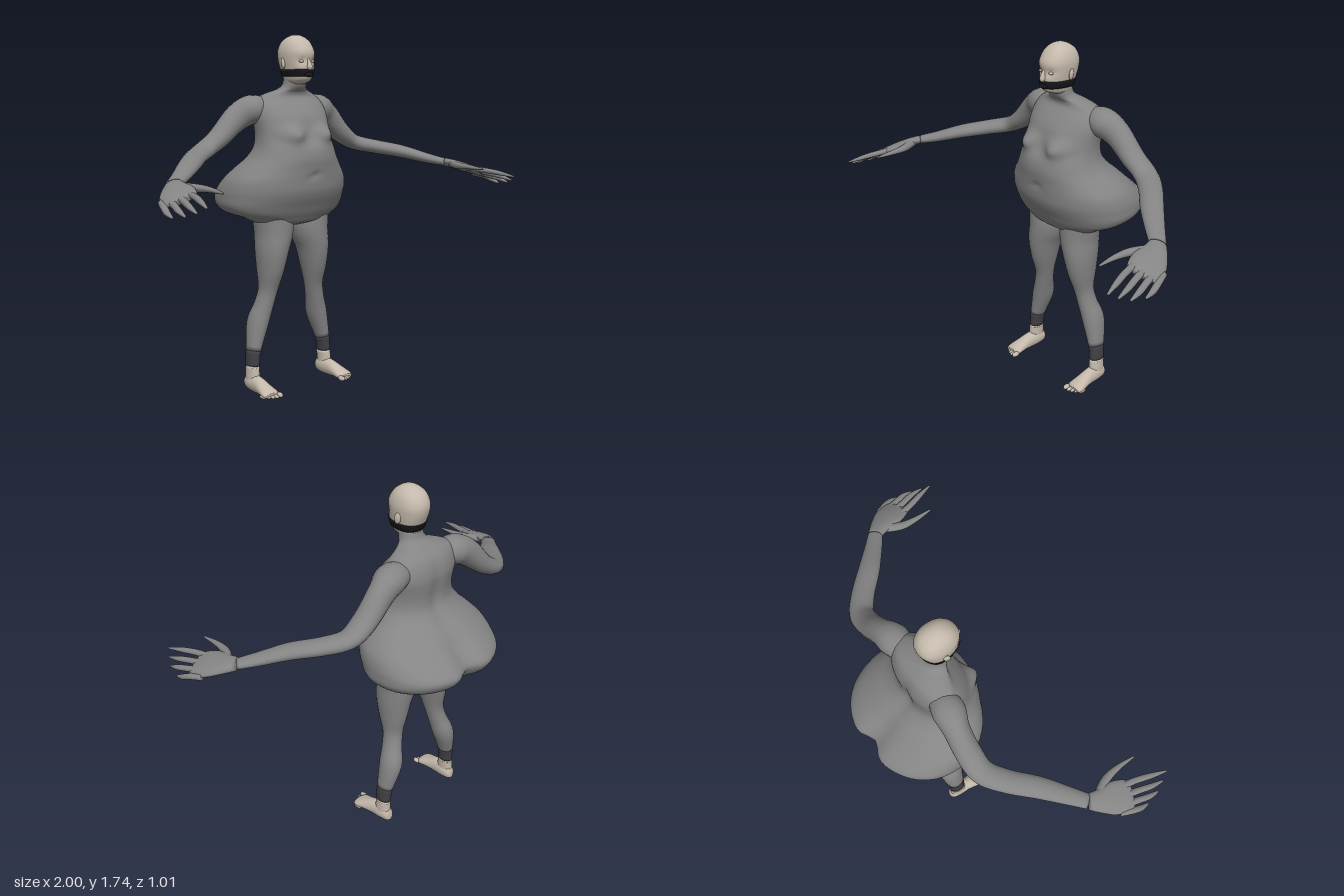
import * as THREE from 'three';

const V = (x, y, z) => new THREE.Vector3(x, y, z);
const mat = (color) => new THREE.MeshStandardMaterial({ color, roughness: 0.8, side: THREE.DoubleSide });
const suit = mat(0x858585), skin = mat(0xc4b9ab), dark = mat(0x17171b), cuffMat = mat(0x404045);

// Smoothly resample rows of numbers, each column on its own spline
function resample(rows, steps) {
  const out = [];
  for (let i = 0; i < rows.length - 1; i++) {
    const [a, b, c, d] = [-1, 0, 1, 2].map((k) => rows[Math.min(rows.length - 1, Math.max(0, i + k))]);
    for (let s = 0; s < steps; s++) {
      const t = s / steps;
      out.push(b.map((p, k) => p + 0.5 * t * (c[k] - a[k] + t * (2 * a[k] - 5 * p + 4 * c[k] - d[k]
        + t * (3 * (p - c[k]) + d[k] - a[k])))));
    }
  }
  out.push(rows[rows.length - 1]);
  return out;
}

// Skin a list of closed rings, with optional end caps
function loft(rings, name, material, caps = true) {
  const n = rings[0].length, pts = rings.flat(), index = [];
  for (let i = 0; i < rings.length - 1; i++) {
    for (let j = 0; j < n; j++) {
      const a = i * n + j, b = i * n + (j + 1) % n;
      index.push(a, b, b + n, a, b + n, a + n);
    }
  }
  if (caps) {
    [0, rings.length - 1].forEach((r) => {
      const mid = rings[r].reduce((s, p) => s.add(p), V(0, 0, 0)).divideScalar(n);
      const c = pts.push(mid) - 1;
      for (let j = 0; j < n; j++) {
        const a = r * n + j, b = r * n + (j + 1) % n;
        if (r === 0) index.push(c, b, a); else index.push(c, a, b);
      }
    });
  }
  const g = new THREE.BufferGeometry().setFromPoints(pts);
  g.setIndex(index);
  g.computeVertexNormals();
  const mesh = new THREE.Mesh(g, material);
  mesh.name = name;
  return mesh;
}

// Elliptical rings along a path; rows are [x, y, z, half width, half height]
function limbRings(rows, up, side = 1, n = 20, steps = 5) {
  const list = resample(rows, steps).map(([x, y, z, w, h]) => ({ p: V(x * side, y, z), w, h }));
  return list.map(({ p, w, h }, i) => {
    const t = list[Math.min(i + 1, list.length - 1)].p.clone().sub(list[Math.max(i - 1, 0)].p).normalize();
    const v = up.clone().addScaledVector(t, -up.dot(t)).normalize();
    const u = v.clone().cross(t);
    return Array.from({ length: n }, (_, j) => {
      const a = j / n * Math.PI * 2;
      return p.clone().addScaledVector(u, Math.cos(a) * w).addScaledVector(v, Math.sin(a) * h);
    });
  });
}

// Level rings; rows are [y, half width, front z, back z, z of the widest line]
function levelRings(rows, n, steps, grow = 0) {
  return resample(rows, steps).map(([y, w, zf, zb, zc]) => Array.from({ length: n }, (_, j) => {
    const a = j / n * Math.PI * 2, c = Math.cos(a), s = Math.sin(a);
    const x = Math.sign(s) * Math.abs(s) ** 0.9 * (w + grow);
    const depth = c > 0 ? zf - zc + grow : zc - zb + grow;
    return V(x, y, zc + Math.sign(c) * Math.abs(c) ** 0.9 * depth);
  }));
}

function ellipsoid(name, material, p, r, parent) {
  const m = new THREE.Mesh(new THREE.SphereGeometry(1, 18, 12), material);
  m.name = name;
  m.position.set(...p);
  m.scale.set(...r);
  parent.add(m);
  return m;
}

function torso() {
  const rings = levelRings([
    [0.815, 0.04, -0.10, -0.18, -0.14], [0.835, 0.19, -0.04, -0.25, -0.14], [0.86, 0.245, -0.02, -0.37, -0.16],
    [0.885, 0.305, -0.005, -0.46, -0.20], [0.92, 0.333, 0.012, -0.50, -0.22], [0.96, 0.337, 0.032, -0.515, -0.22],
    [1.0, 0.335, 0.045, -0.48, -0.21], [1.05, 0.32, 0.05, -0.42, -0.19], [1.1, 0.28, 0.055, -0.365, -0.17],
    [1.15, 0.235, 0.06, -0.31, -0.14], [1.2, 0.21, 0.05, -0.275, -0.12], [1.25, 0.2, 0.015, -0.268, -0.12],
    [1.3, 0.2, 0, -0.272, -0.13], [1.35, 0.205, -0.015, -0.275, -0.15], [1.4, 0.2, -0.05, -0.265, -0.16],
    [1.44, 0.175, -0.085, -0.245, -0.165], [1.465, 0.12, -0.085, -0.215, -0.15], [1.48, 0.078, -0.072, -0.19, -0.13],
    [1.5, 0.06, -0.06, -0.165, -0.11], [1.535, 0.054, -0.05, -0.155, -0.10],
  ], 72, 4);
  for (const p of rings.flat()) {
    const bump = (x, y, rx, ry) => Math.exp(-(((Math.abs(p.x) - x) / rx) ** 2) - ((p.y - y) / ry) ** 2);
    if (p.z > -0.12) { // chest and navel
      p.z += 0.05 * bump(0.095, 1.265, 0.055, 0.04) - 0.012 * bump(0, 1.07, 0.02, 0.015);
    } else if (p.z < -0.2) { // cleft running up into the spine
      p.z += 0.05 * bump(0, 0.95, 0.06, 0.13) + 0.012 * bump(0, 1.25, 0.03, 0.15);
    }
  }
  return loft(rings, 'torso', suit);
}

function head() {
  const g = new THREE.Group();
  g.name = 'head';
  const rows = [
    [1.505, 0.04, -0.055, -0.14, -0.1], [1.52, 0.053, -0.014, -0.152, -0.1], [1.54, 0.06, 0, -0.16, -0.1],
    [1.575, 0.069, 0.006, -0.174, -0.1], [1.62, 0.076, 0.003, -0.19, -0.1], [1.66, 0.077, 0.003, -0.194, -0.1],
    [1.7, 0.065, -0.02, -0.178, -0.098], [1.725, 0.043, -0.048, -0.148, -0.097], [1.737, 0.02, -0.075, -0.12, -0.097],
    [1.74, 0.004, -0.094, -0.1, -0.097],
  ];
  const skull = levelRings(rows, 40, 4);
  for (const p of skull.flat()) { // eye sockets
    if (p.z > -0.06) p.z -= 0.01 * Math.exp(-(((Math.abs(p.x) - 0.032) / 0.018) ** 2) - ((p.y - 1.615) / 0.014) ** 2);
  }
  g.add(loft(skull, 'skull', skin));
  g.add(loft(levelRings(rows.slice(2, 4), 40, 3, 0.004), 'mouthBand', dark));
  ellipsoid('lips', dark, [0, 1.55, 0.004], [0.024, 0.012, 0.01], g);
  g.add(loft(limbRings([[0, 1.63, -0.005, 0.006, 0.006], [0, 1.605, 0.004, 0.009, 0.011],
    [0, 1.585, 0.009, 0.014, 0.014], [0, 1.576, 0.005, 0.009, 0.01]], V(0, 0, 1), 1, 14), 'nose', skin));
  for (const s of [-1, 1]) {
    ellipsoid('eye', skin, [s * 0.032, 1.613, -0.015], [0.014, 0.007, 0.01], g);
    const ear = ellipsoid('ear', skin, [s * 0.077, 1.602, -0.1], [0.009, 0.027, 0.016], g);
    ear.rotation.set(-0.15, s * 0.4, 0);
  }
  return g;
}

function arm(s) {
  const g = new THREE.Group(), up = V(0, 1, 0);
  g.name = s > 0 ? 'leftArm' : 'rightArm';
  g.add(loft(limbRings([
    [0.11, 1.38, -0.18, 0.05, 0.05], [0.2, 1.385, -0.185, 0.075, 0.07], [0.28, 1.345, -0.2, 0.06, 0.065],
    [0.38, 1.255, -0.205, 0.06, 0.05], [0.47, 1.2, -0.195, 0.058, 0.04], [0.56, 1.175, -0.13, 0.055, 0.036],
    [0.66, 1.15, -0.03, 0.052, 0.033], [0.76, 1.115, 0.06, 0.043, 0.026], [0.83, 1.095, 0.12, 0.036, 0.02],
  ], up, s), 'sleeve', suit));
  // Hand
  g.add(loft(limbRings([
    [0.833, 1.094, 0.123, 0.038, 0.021], [0.86, 1.083, 0.17, 0.055, 0.022], [0.885, 1.068, 0.23, 0.076, 0.021],
    [0.907, 1.052, 0.29, 0.072, 0.017], [0.915, 1.046, 0.315, 0.055, 0.01],
  ], V(0.35 * s, 1, 0), s), 'palm', suit));
  const fingers = {
    thumb: [[0.84, 1.087, 0.17], [0.798, 1.086, 0.25], [0.787, 1.085, 0.33], [0.79, 1.08, 0.42]],
    indexFinger: [[0.857, 1.07, 0.26], [0.875, 1.065, 0.35], [0.9, 1.055, 0.43], [0.925, 1.04, 0.51]],
    middleFinger: [[0.897, 1.058, 0.26], [0.918, 1.048, 0.34], [0.938, 1.035, 0.41], [0.948, 1.018, 0.475]],
    ringFinger: [[0.93, 1.045, 0.25], [0.952, 1.032, 0.32], [0.968, 1.018, 0.38], [0.972, 1.002, 0.43]],
    littleFinger: [[0.95, 1.035, 0.22], [0.976, 1.022, 0.28], [0.986, 1.006, 0.32], [0.988, 0.992, 0.36]],
  };
  for (const [name, path] of Object.entries(fingers)) {
    const k = name === 'thumb' ? 1.3 : 1;
    const radii = [0.018 * k, 0.016 * k, 0.014, 0.005];
    g.add(loft(limbRings(path.map((p, i) => [...p, radii[i], radii[i] * 0.85]), up, s, 12, 4), name, suit));
  }
  return g;
}

function leg(s) {
  const g = new THREE.Group();
  g.name = s > 0 ? 'leftLeg' : 'rightLeg';
  const rings = limbRings([
    [0.12, 0.92, -0.14, 0.1, 0.1], [0.111, 0.8, -0.137, 0.096, 0.103], [0.128, 0.7, -0.13, 0.079, 0.096],
    [0.137, 0.6, -0.132, 0.063, 0.079], [0.146, 0.5, -0.14, 0.047, 0.053], [0.164, 0.42, -0.152, 0.046, 0.053],
    [0.19, 0.33, -0.168, 0.051, 0.061], [0.222, 0.2, -0.16, 0.034, 0.045], [0.23, 0.125, -0.157, 0.03, 0.042],
  ], V(0, 0, 1), s, 24, 6);
  g.add(loft(rings.slice(0, 43), 'trouserLeg', suit), loft(rings.slice(42), 'darkCuff', cuffMat));
  // Bare foot
  g.add(loft(limbRings([[0.23, 0.118, -0.157, 0.03, 0.042], [0.232, 0.07, -0.155, 0.03, 0.044],
    [0.232, 0.03, -0.155, 0.03, 0.042]], V(0, 0, 1), s), 'ankle', skin));
  const foot = limbRings([
    [0.23, 0.035, -0.206, 0.012, 0.018], [0.23, 0.035, -0.195, 0.026, 0.033], [0.231, 0.04, -0.155, 0.034, 0.044],
    [0.233, 0.036, -0.1, 0.034, 0.042], [0.236, 0.028, -0.05, 0.04, 0.031], [0.238, 0.018, -0.005, 0.046, 0.022],
    [0.238, 0.014, 0.015, 0.038, 0.013],
  ], V(0, 1, 0), s);
  for (const p of foot.flat()) p.y = Math.max(p.y, 0.002);
  g.add(loft(foot, 'foot', skin));
  for (let i = 0; i < 5; i++) {
    const r = i === 0 ? 0.013 : 0.0095 - i * 0.0004;
    ellipsoid('toe', skin, [s * (0.203 + i * 0.0185 - (i ? 0 : 0.003)), r, 0.022 - i * i * 0.0022], [r, r, 0.023], g);
  }
  return g;
}

export function createModel() {
  const model = new THREE.Group();
  model.name = 'figure';
  model.add(torso(), head());
  for (const s of [1, -1]) model.add(arm(s), leg(s));
  return model;
}
